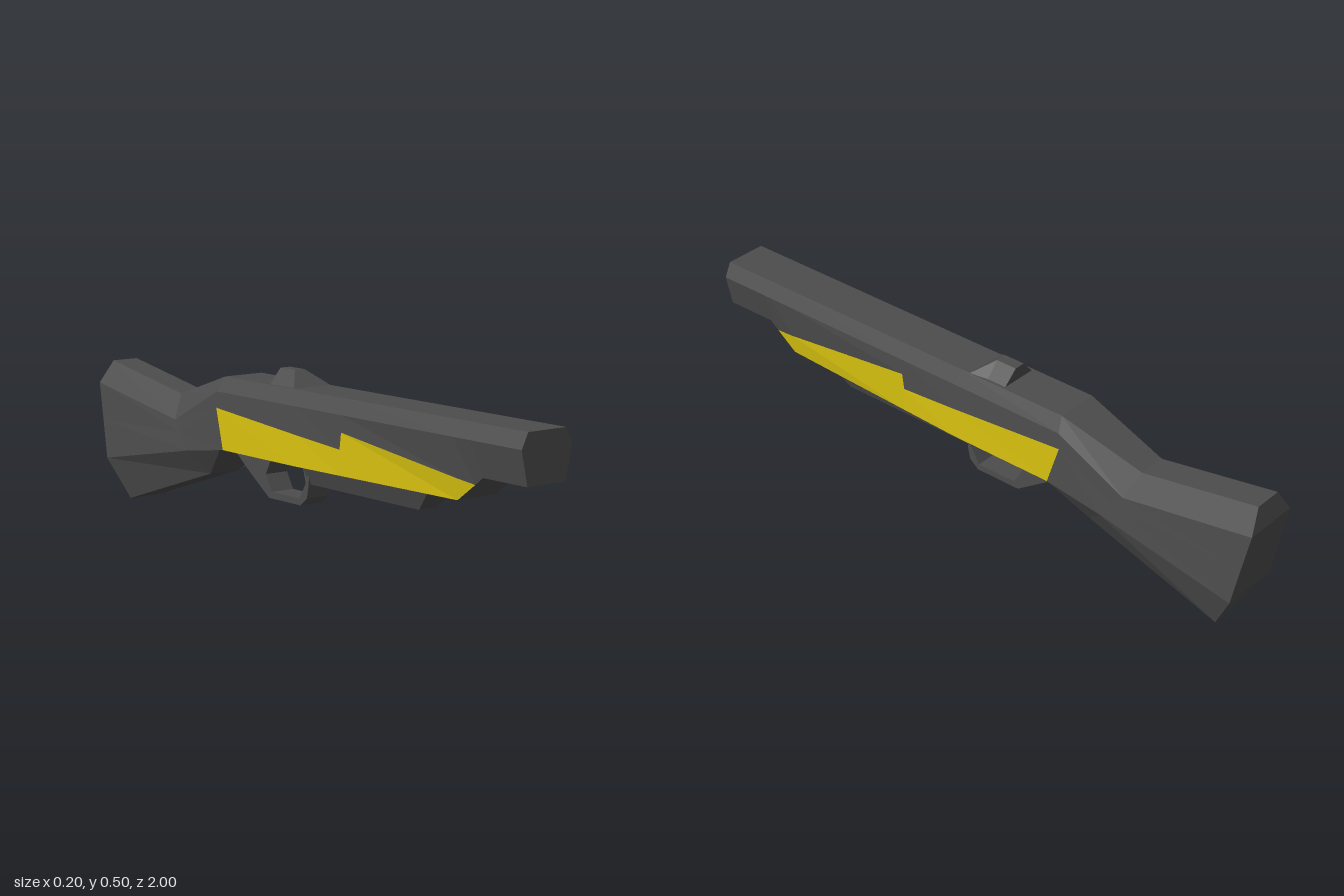
import * as THREE from 'three';

// Loft mirrored half-sections ([x, y, z] from top to bottom) from front to back.
// isAccent(i, j) picks material 1 for the strip j between sections i and i + 1.
function loft(sections, isAccent = () => false) {
  const rings = sections.map(s => [...s, ...[...s].reverse().map(([x, y, z]) => [-x, y, z])]
    .map(p => new THREE.Vector3(...p)));
  const n = rings[0].length;
  const buckets = [[], []];
  const tri = (m, a, b, c) => {
    const area = b.clone().sub(a).cross(c.clone().sub(a)).length();
    if (area > 1e-7) for (const p of [a, b, c]) buckets[m].push(p.x, p.y, p.z);
  };
  const quad = (m, a, b, c, d) => { tri(m, a, b, c); tri(m, a, c, d); };
  for (let i = 0; i < rings.length - 1; i++) {
    for (let j = 0; j < n; j++) {
      const k = (j + 1) % n;
      const half = j < n / 2 ? j : n - 2 - j;
      quad(isAccent(i, half) ? 1 : 0, rings[i][j], rings[i][k], rings[i + 1][k], rings[i + 1][j]);
    }
  }
  // End caps, as strips across the width
  const f = rings[0], b = rings[rings.length - 1];
  for (let j = 0; j < n / 2 - 1; j++) {
    quad(0, f[j], f[n - 1 - j], f[n - 2 - j], f[j + 1]);
    quad(0, b[j], b[j + 1], b[n - 2 - j], b[n - 1 - j]);
  }
  const g = new THREE.BufferGeometry();
  g.setAttribute('position', new THREE.Float32BufferAttribute(buckets.flat(), 3));
  g.addGroup(0, buckets[0].length / 3, 0);
  g.addGroup(buckets[0].length / 3, buckets[1].length / 3, 1);
  g.computeVertexNormals();
  return g;
}

// Straight body section: top, shoulder, stripe edge, lower edge, bottom
function bodySection(z, lowX, lowY, stripeY = lowY) {
  const t = (0.415 - stripeY) / (0.415 - lowY);
  const low = [lowX, lowY, z];
  return [[0.068, 0.46, z], [0.09, 0.415, z], [0.09 + (lowX - 0.09) * t, stripeY, z], low, low];
}

export function createModel() {
  const group = new THREE.Group();
  const gunmetal = new THREE.MeshStandardMaterial({ color: 0x4d4d4d });
  gunmetal.name = 'gunmetal';
  const yellow = new THREE.MeshStandardMaterial({ color: 0xd6c00f });
  yellow.name = 'yellow';
  const add = (name, geometry, material) => {
    const mesh = new THREE.Mesh(geometry, material);
    mesh.name = name;
    group.add(mesh);
  };

  // Barrel, receiver and stock in one faceted loft, with the jagged side stripe
  const body = [
    bodySection(1, 0.068, 0.315),
    bodySection(0.83, 0.068, 0.315),
    bodySection(0.8, 0.068, 0.292),
    bodySection(0.73, 0.068, 0.24, 0.302),
    bodySection(0.257, 0.089, 0.24, 0.365),
    bodySection(0.25, 0.0893, 0.24, 0.315),
    bodySection(0.05, 0.098, 0.24, 0.332),
    // receiver rear
    [[0.068, 0.46, -0.33], [0.092, 0.415, -0.34], [0.094, 0.365, -0.343],
      [0.098, 0.24, -0.305], [0.098, 0.24, -0.32]],
    // wrist
    [[0.045, 0.375, -0.6], [0.09, 0.3, -0.57], [0.093, 0.265, -0.54],
      [0.098, 0.212, -0.5], [0.055, 0.145, -0.43]],
    // butt
    [[0.045, 0.44, -0.985], [0.09, 0.37, -1], [0.094, 0.25, -0.975],
      [0.098, 0.128, -0.95], [0.055, 0, -0.88]],
  ];
  add('body', loft(body, (i, j) => j === 2 && i >= 2 && i <= 6), [gunmetal, yellow]);

  // Tapered tube under the fore-end
  add('magazine', loft([
    [[0.055, 0.25, 0.6], [0.032, 0.178, 0.53]],
    [[0.055, 0.25, 0.03], [0.032, 0.178, 0.03]],
  ]), gunmetal);

  // Wedge sight on top
  add('sight', loft([
    [[0.068, 0.46, 0.01], [0.068, 0.45, 0.01]],
    [[0.018, 0.505, -0.05], [0.068, 0.45, -0.05]],
    [[0.018, 0.505, -0.12], [0.068, 0.45, -0.115]],
  ]), gunmetal);

  // Trigger guard: open loop in the z-y plane
  const outline = [
    [0.05, 0.245], [0.043, 0.17], [0.035, 0.135], [0.005, 0.11], [-0.15, 0.11], [-0.26, 0.185],
    [-0.34, 0.245], [-0.13, 0.245], [-0.165, 0.18], [-0.135, 0.13], [0, 0.13], [0.03, 0.18], [0.01, 0.245],
  ].map(p => new THREE.Vector2(...p));
  const guard = new THREE.ExtrudeGeometry(new THREE.Shape(outline), { depth: 0.08, bevelEnabled: false });
  guard.rotateY(-Math.PI / 2).translate(0.04, 0, 0);
  add('triggerGuard', guard, gunmetal);

  return group;
}
